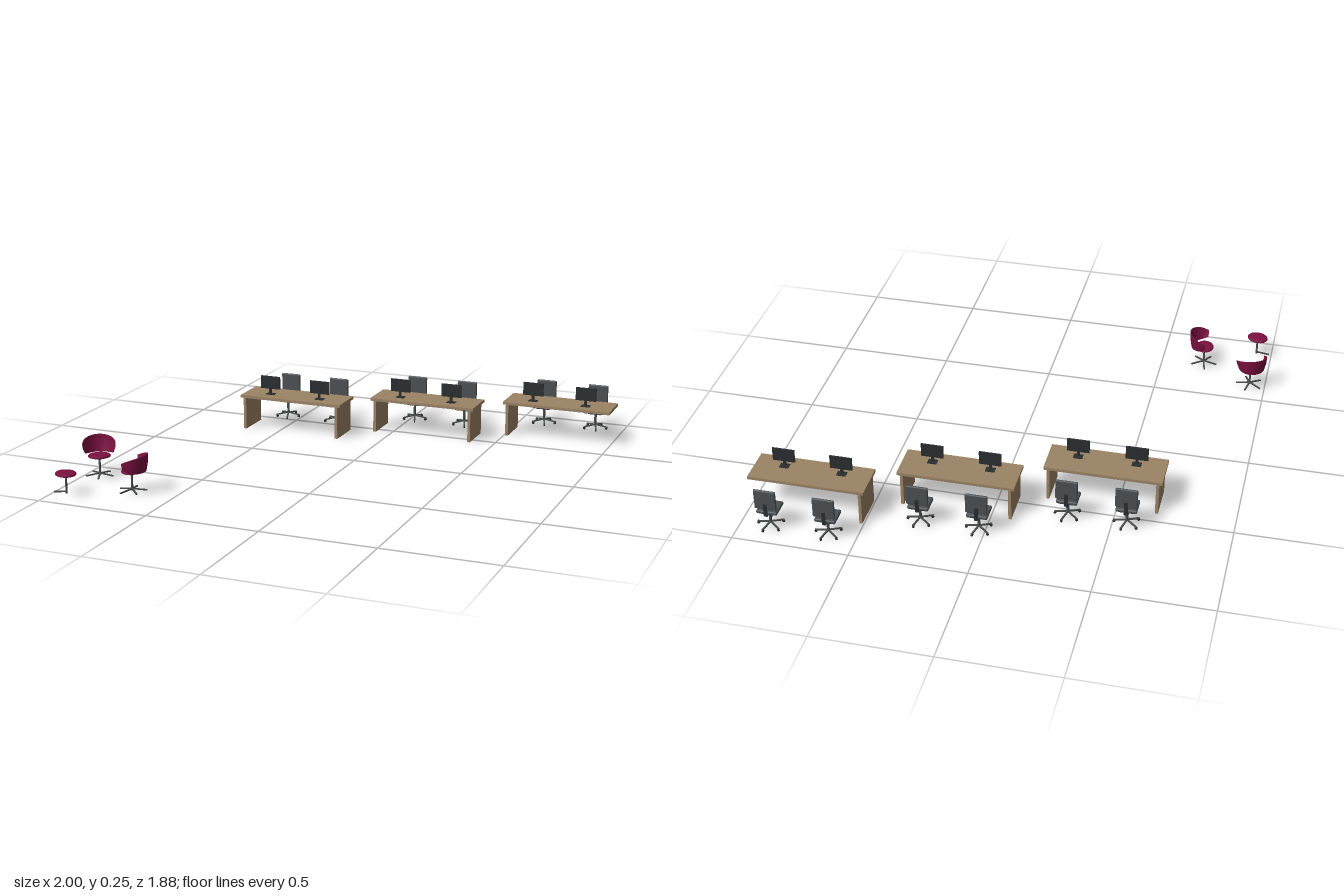
import * as THREE from 'three';
import { RoundedBoxGeometry } from 'three/addons/geometries/RoundedBoxGeometry.js';
import { toCreasedNormals } from 'three/addons/utils/BufferGeometryUtils.js';

const paint = (color, side = THREE.FrontSide) => new THREE.MeshStandardMaterial({ color, side });
const wood = paint(0x9c8466);
const fabric = paint(0x4b5053);
const dark = paint(0x2a2e30);
const metal = paint(0x4a4c4c);
const red = paint(0x7c1040);
const redShell = paint(0x7c1040, THREE.DoubleSide);

function add(parent, name, geometry, material, x = 0, y = 0, z = 0) {
  const mesh = new THREE.Mesh(geometry, material);
  mesh.name = name;
  mesh.position.set(x, y, z);
  parent.add(mesh);
  return mesh;
}

function group(parent, name, x, z, turn = 0) {
  const g = new THREE.Group();
  g.name = name;
  g.position.set(x, 0, z);
  g.rotation.y = turn;
  parent.add(g);
  return g;
}

const box = (w, h, d) => new THREE.BoxGeometry(w, h, d);
const cyl = (r, h, n = 12) => new THREE.CylinderGeometry(r, r, h, n);

// Foot bar running outward from the column, sloping down to its tip
function foot(parent, angle, length, y0, y1, castor) {
  const arm = group(parent, 'foot', 0, 0, angle);
  const bar = add(arm, 'footBar', box(length, 0.005, 0.007), metal, length / 2, (y0 + y1) / 2, 0);
  bar.rotation.z = -Math.atan2(y0 - y1, length);
  if (castor) {
    const wheel = add(arm, 'castor', cyl(0.006, 0.006, 10), dark, length - 0.004, 0.009, 0);
    wheel.rotation.x = Math.PI / 2;
  }
}

// Desk top with side panels at the listed ends
function desk(parent, x, z, ends) {
  const g = group(parent, 'desk', x, z);
  add(g, 'deskTop', box(0.503, 0.013, 0.171), wood, 0, 0.1565, 0);
  for (const s of ends) add(g, 'sidePanel', box(0.013, 0.15, 0.163), wood, s * 0.232, 0.075, 0);
}

function monitor(parent, x, z) {
  const g = group(parent, 'monitor', x, z);
  add(g, 'screen', box(0.096, 0.06, 0.007), dark, 0, 0.22, 0);
  add(g, 'monitorStand', box(0.012, 0.05, 0.005), dark, 0, 0.188, 0.004);
  add(g, 'monitorBase', box(0.04, 0.003, 0.03), dark, 0, 0.1645, 0);
}

function officeChair(parent, x, z) {
  const g = group(parent, 'officeChair', x, z);
  add(g, 'seat', new RoundedBoxGeometry(0.09, 0.016, 0.086, 3, 0.006), fabric, 0, 0.092, 0.005);
  add(g, 'seatPlate', box(0.06, 0.006, 0.055), dark, 0, 0.081, 0);
  add(g, 'backrest', new RoundedBoxGeometry(0.094, 0.092, 0.012, 3, 0.005), fabric, 0, 0.16, -0.037);
  add(g, 'backSupport', box(0.016, 0.06, 0.004), dark, 0, 0.112, -0.044);
  add(g, 'supportBar', box(0.016, 0.004, 0.046), dark, 0, 0.083, -0.023);
  add(g, 'column', cyl(0.006, 0.06), metal, 0, 0.05, 0);
  for (let i = 0; i < 5; i++) foot(g, (i * Math.PI * 2) / 5, 0.058, 0.024, 0.015, true);
}

// Padded oval seat on a column
function loungeBase(g) {
  const outline = [[0, 0.085], [0.036, 0.086], [0.047, 0.09], [0.049, 0.094], [0.045, 0.099], [0.03, 0.101], [0, 0.102]];
  const seat = add(g, 'seat', new THREE.LatheGeometry(outline.map(p => new THREE.Vector2(...p)), 32), red);
  seat.scale.z = 0.87;
  add(g, 'column', cyl(0.0045, 0.077), metal, 0, 0.047, 0);
}

// Wrap-around back: a partial lathe whose edges slope toward the arms
function shellGeometry() {
  const span = Math.PI * 1.08;
  const profile = [[0.062, 0], [0.069, 0.5], [0.071, 1], [0.068, 1], [0.066, 0.5], [0.059, 0], [0.062, 0]];
  const geo = new THREE.LatheGeometry(profile.map(p => new THREE.Vector2(...p)), 36, Math.PI - span / 2, span);
  const pos = geo.attributes.position;
  for (let i = 0; i < pos.count; i++) {
    const t = Math.abs(Math.atan2(pos.getX(i), -pos.getZ(i))) / (span / 2);
    const bottom = 0.095 + 0.018 * t ** 4;
    const top = 0.171 - 0.028 * t ** 2;
    pos.setY(i, THREE.MathUtils.lerp(bottom, top, pos.getY(i)));
  }
  return toCreasedNormals(geo, 0.7);
}

function loungeChair(parent, x, z, turn) {
  const g = group(parent, 'loungeChair', x, z, turn);
  loungeBase(g);
  add(g, 'wrapBack', shellGeometry(), redShell);
  for (let i = 0; i < 5; i++) foot(g, Math.PI / 2 + 0.5 + (i * Math.PI * 2) / 5, 0.062, 0.016, 0.008, false);
}

export function createModel() {
  const model = new THREE.Group();
  model.name = 'officeFurniture';

  // Three staggered workstations, each with two monitors and two chairs
  const stations = [
    [0.745, -0.708, [-1]],
    [0.151, -0.54, [-1, 1]],
    [-0.436, -0.364, [-1, 1]],
  ];
  for (const [x, z, ends] of stations) {
    const g = group(model, 'workstation', 0, 0);
    desk(g, x, z, ends);
    for (const s of [-1, 1]) {
      monitor(g, x + s * 0.125, z + 0.021);
      officeChair(g, x + s * 0.125, z - 0.179);
    }
  }

  // Lounge corner: two wrap-back chairs and a stool on a single foot
  loungeChair(model, -0.929, 0.62, 0.52);
  loungeChair(model, -0.695, 0.757, -Math.PI / 2);
  const stool = group(model, 'stool', -0.93, 0.893, 2.7);
  loungeBase(stool);
  foot(stool, Math.PI - 2.7, 0.06, 0.016, 0.008, false);

  return model;
}
